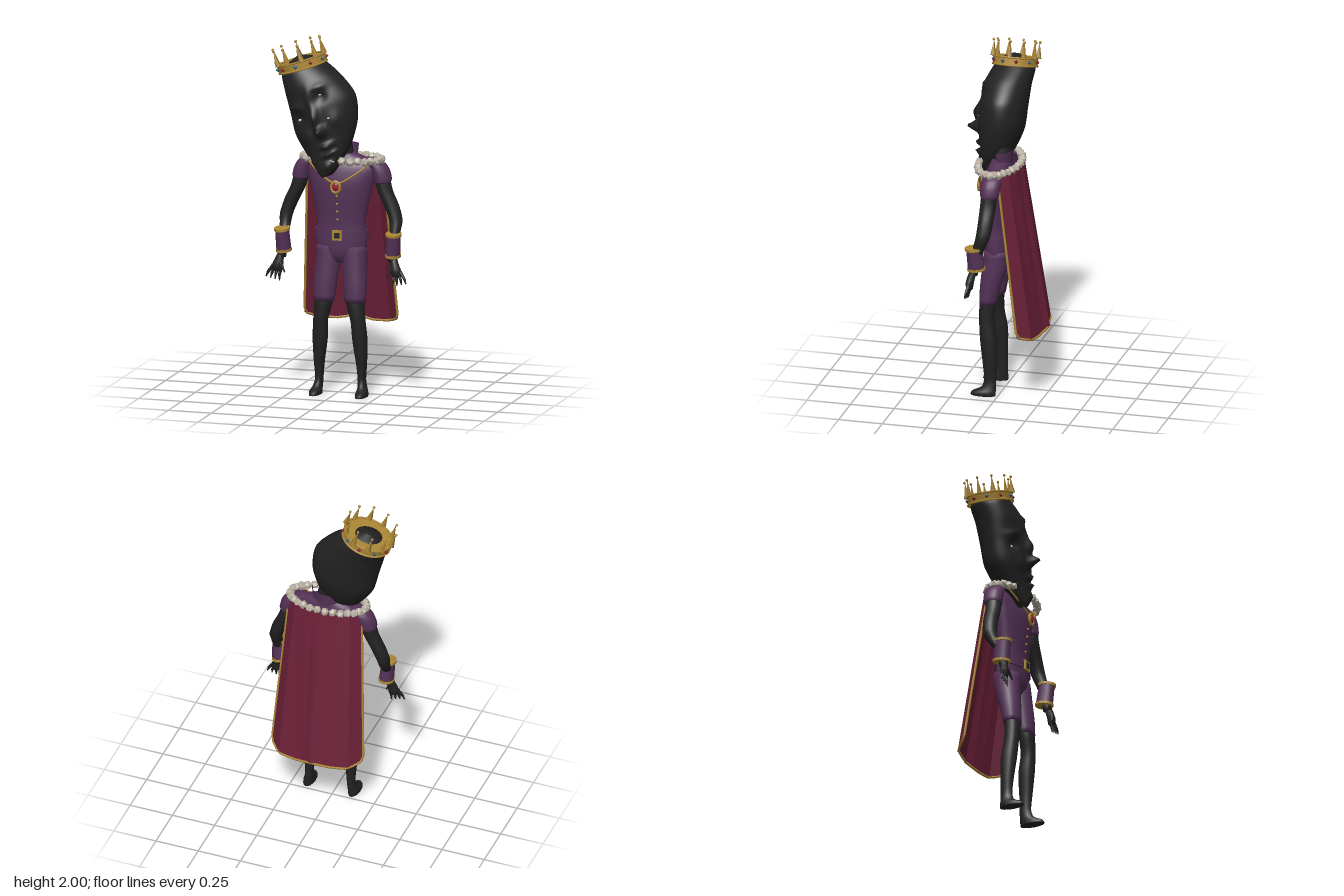
import * as THREE from 'three';

const mat = (name, color, extra = {}) => Object.assign(new THREE.MeshStandardMaterial({ color, ...extra }), { name });
const V = (x, y, z) => new THREE.Vector3(x, y, z);

// Closed smooth loft through level rings [x, y, z, rx, rz], listed from bottom to top
function loft(rings, sides = 14, steps = 3, warp = null) {
  const mid = new THREE.CatmullRomCurve3(rings.map(r => V(r[0], r[1], r[2])), false, 'catmullrom', 0.4);
  const rad = new THREE.CatmullRomCurve3(rings.map(r => V(r[3], r[4], 0)), false, 'catmullrom', 0.4);
  const rows = (rings.length - 1) * steps, pos = [], idx = [];
  for (let j = 0; j <= rows; j++) {
    const c = mid.getPoint(j / rows), r = rad.getPoint(j / rows);
    for (let i = 0; i < sides; i++) {
      const a = (i / sides) * Math.PI * 2;
      const p = V(c.x + r.x * Math.cos(a), c.y, c.z + r.y * Math.sin(a));
      if (warp) warp(p, Math.sin(a), c);
      pos.push(p.x, p.y, p.z);
      if (j === rows) continue;
      const n = (i + 1) % sides, A = j * sides + i, B = j * sides + n;
      idx.push(A, A + sides, B, B, A + sides, B + sides);
    }
  }
  // end caps
  const first = rings[0], last = rings[rings.length - 1], k = pos.length / 3, top = rows * sides;
  pos.push(first[0], first[1], first[2], last[0], last[1], last[2]);
  for (let i = 0; i < sides; i++) {
    const n = (i + 1) % sides;
    idx.push(k, i, n, k + 1, top + n, top + i);
  }
  const g = new THREE.BufferGeometry();
  g.setAttribute('position', new THREE.Float32BufferAttribute(pos, 3));
  g.setIndex(idx);
  g.computeVertexNormals();
  return g;
}

export function createModel() {
  const skin = mat('black skin', 0x222222);
  const purple = mat('purple cloth', 0x543257, { side: THREE.DoubleSide });
  const crimson = mat('crimson cape', 0x6c2038, { side: THREE.DoubleSide, flatShading: true });
  const gold = mat('gold', 0xad8836, { side: THREE.DoubleSide });
  const fur = mat('pale fur', 0xb8b0a2, { flatShading: true });
  const red = mat('red gem', 0x8c1c2c, { flatShading: true });
  const blue = mat('blue gem', 0x2f5f92, { flatShading: true });
  const white = mat('eye white', 0xe4e2da);

  const model = new THREE.Group();
  const add = (parent, name, geo, material, x = 0, y = 0, z = 0) => {
    const m = new THREE.Mesh(geo, material);
    m.name = name;
    m.position.set(x, y, z);
    parent.add(m);
    return m;
  };
  const group = (parent, name, x, y, z) => {
    const g = new THREE.Group();
    g.name = name;
    g.position.set(x, y, z);
    parent.add(g);
    return g;
  };
  const tube = (pts, r, straight) => {
    const c = straight ? new THREE.CurvePath() : new THREE.CatmullRomCurve3(pts);
    if (straight) for (let i = 1; i < pts.length; i++) c.add(new THREE.LineCurve3(pts[i - 1], pts[i]));
    return new THREE.TubeGeometry(c, pts.length * 5, r, 6);
  };
  // tapered rod between two points
  const rod = (parent, name, a, b, r0, r1, material) => {
    const m = add(parent, name, new THREE.CylinderGeometry(r1, r0, a.distanceTo(b), 6), material);
    m.position.copy(a).lerp(b, 0.5);
    m.quaternion.setFromUnitVectors(V(0, 1, 0), b.clone().sub(a).normalize());
  };

  // ---- body, centred on its own axis
  const body = group(model, 'body', 0.027, 0, 0);
  add(body, 'torso', loft([
    [0, 0.745, 0.025, 0.05, 0.045], [0, 0.80, 0.022, 0.135, 0.075], [0, 0.90, 0.025, 0.145, 0.075],
    [0, 0.98, 0.027, 0.14, 0.072], [0, 1.10, 0.028, 0.162, 0.08], [0, 1.20, 0.025, 0.185, 0.085],
    [0, 1.28, 0.02, 0.2, 0.075], [0, 1.325, 0.015, 0.16, 0.06], [0, 1.36, 0.01, 0.075, 0.05]], 24), purple);
  add(body, 'neck', loft([[0, 1.30, 0.01, 0.07, 0.055], [0, 1.38, 0.01, 0.06, 0.05], [-0.02, 1.5, 0.02, 0.06, 0.05]]), skin);
  add(body, 'standingCollar', new THREE.CylinderGeometry(0.095, 0.085, 0.09, 16, 1, true, Math.PI / 2, Math.PI),
    purple, 0, 1.365, 0.02).scale.z = 0.75;
  add(body, 'belt', new THREE.CylinderGeometry(0.153, 0.153, 0.05, 28), purple, 0, 0.905, 0.025).scale.z = 0.56;
  add(body, 'buckle', new THREE.BoxGeometry(0.056, 0.056, 0.014), gold, 0, 0.907, 0.111);
  add(body, 'buckleCentre', new THREE.BoxGeometry(0.03, 0.03, 0.006), skin, 0, 0.907, 0.119);
  for (let i = 0; i < 4; i++)
    add(body, 'button', new THREE.SphereGeometry(0.007, 8, 6), gold, 0, 1.13 - i * 0.045, 0.12 - i * 0.005);

  // necklace
  add(body, 'chain', tube([V(-0.17, 1.31, 0.085), V(-0.1, 1.255, 0.115), V(0, 1.205, 0.135),
    V(0.1, 1.255, 0.115), V(0.17, 1.31, 0.085)], 0.006), gold);
  const pendant = group(body, 'pendant', 0, 1.185, 0.14);
  add(pendant, 'pendantRim', new THREE.TorusGeometry(0.025, 0.008, 6, 16), gold).scale.y = 1.2;
  add(pendant, 'pendantGem', new THREE.SphereGeometry(0.022, 8, 6), red).scale.set(1, 1.2, 0.5);

  for (const s of [-1, 1]) {
    const side = s > 0 ? 'left' : 'right';
    const f = s > 0 ? 0.08 : 0.11; // wrist depth
    add(body, side + 'Leg', loft([
      [s * 0.133, 0, 0.085, 0.032, 0.072], [s * 0.133, 0.02, 0.08, 0.032, 0.068], [s * 0.128, 0.045, 0.055, 0.026, 0.042],
      [s * 0.123, 0.09, 0.046, 0.022, 0.034], [s * 0.122, 0.18, 0.05, 0.03, 0.038], [s * 0.115, 0.31, 0.057, 0.042, 0.047],
      [s * 0.108, 0.42, 0.07, 0.042, 0.042], [s * 0.092, 0.52, 0.07, 0.052, 0.044], [s * 0.09, 0.6, 0.06, 0.05, 0.044]]), skin);
    add(body, side + 'ShortsLeg', loft([
      [s * 0.09, 0.53, 0.066, 0.061, 0.049], [s * 0.086, 0.62, 0.055, 0.066, 0.058],
      [s * 0.077, 0.74, 0.033, 0.07, 0.07], [s * 0.072, 0.84, 0.022, 0.07, 0.072]], 16), purple);
    add(body, side + 'Sleeve', loft([
      [s * 0.235, 1.205, 0.02, 0.046, 0.05], [s * 0.235, 1.225, 0.018, 0.05, 0.054],
      [s * 0.222, 1.27, 0.016, 0.052, 0.056], [s * 0.195, 1.31, 0.015, 0.05, 0.052], [s * 0.15, 1.335, 0.015, 0.03, 0.035]]), purple);
    add(body, side + 'Arm', loft([
      [s * 0.315, 0.77, f + 0.01, 0.022, 0.024], [s * 0.316, 0.86, f, 0.026, 0.03], [s * 0.318, 0.94, 0.055, 0.03, 0.035],
      [s * 0.316, 1.0, 0.035, 0.037, 0.04], [s * 0.288, 1.08, 0.027, 0.042, 0.042], [s * 0.25, 1.16, 0.024, 0.043, 0.044],
      [s * 0.23, 1.24, 0.02, 0.045, 0.045]]), skin);
    // wrist cuff
    const cuff = group(body, side + 'Cuff', s * 0.314, 0.867, f);
    cuff.rotation.set(0.1, 0, -s * 0.06);
    cuff.scale.z = 1.2;
    add(cuff, 'cuffBand', new THREE.CylinderGeometry(0.038, 0.041, 0.12, 12), purple);
    for (const e of [-1, 1])
      add(cuff, 'cuffRim', new THREE.CylinderGeometry(0.044, 0.044, 0.014, 14), gold, 0, e * 0.06, 0);
    // hand
    const z = f + 0.025;
    add(body, side + 'Palm', loft([[s * 0.34, 0.695, z, 0.027, 0.018], [s * 0.336, 0.73, z, 0.032, 0.022],
      [s * 0.325, 0.775, z - 0.01, 0.022, 0.022], [s * 0.316, 0.81, f, 0.02, 0.022]], 10), skin);
    for (let i = 0; i < 4; i++) {
      const a = V(s * (0.318 + i * 0.015), 0.705 + i * 0.006, z), k = V(s * (0.324 + i * 0.022), 0.672 + i * 0.004, z + 0.008);
      rod(body, side + 'Finger', a, k, 0.01, 0.008, skin);
      rod(body, side + 'FingerTip', k, V(s * (0.322 + i * 0.026), 0.64 + i * 0.006, z + 0.012), 0.008, 0.003, skin);
    }
    rod(body, side + 'Thumb', V(s * 0.318, 0.745, z + 0.01), V(s * 0.288, 0.69, z + 0.025), 0.011, 0.004, skin);
  }

  // ---- cape: half profile mirrored, [spread, top z, hem y, hem z]
  const half = [[1, -0.02, 0.405, -0.145], [0.76, -0.07, 0.375, -0.212], [0.4, -0.095, 0.37, -0.228],
    [0.2, -0.1, 0.378, -0.24], [0, -0.112, 0.395, -0.262]];
  const profile = [...half.map(p => [-p[0], ...p.slice(1)]), ...half.slice(0, -1).reverse()];
  const topPts = profile.map(p => V(0.03 + p[0] * 0.215, 1.325, p[1]));
  const hemPts = profile.map(p => V(0.028 + p[0] * 0.27, p[2], p[3]));
  const capePos = [], capeIdx = [];
  profile.forEach((p, i) => {
    capePos.push(...topPts[i].toArray(), ...hemPts[i].toArray());
    if (i) capeIdx.push(2 * i - 2, 2 * i, 2 * i - 1, 2 * i, 2 * i + 1, 2 * i - 1);
  });
  const capeGeo = new THREE.BufferGeometry();
  capeGeo.setAttribute('position', new THREE.Float32BufferAttribute(capePos, 3));
  capeGeo.setIndex(capeIdx);
  capeGeo.computeVertexNormals();
  const cape = group(model, 'cape', 0, 0, 0);
  add(cape, 'capeCloth', capeGeo, crimson);
  add(cape, 'capeTrim', tube([topPts[0], ...hemPts, topPts[8]], 0.007, true), gold);

  // fur collar, open under the chin
  const collar = group(model, 'furCollar', 0.03, 1.33, 0.022);
  for (let i = 0; i < 30; i++) {
    const a = Math.PI / 2 + 0.14 + (i / 29) * (Math.PI * 2 - 0.28);
    const tuft = add(collar, 'furTuft', new THREE.IcosahedronGeometry(0.026, 0), fur,
      Math.cos(a) * 0.222, (i % 2) * 0.004 - 0.002, Math.sin(a) * 0.112);
    tuft.rotation.set(i * 1.3, i * 0.7, i * 2.1);
    tuft.scale.y = 0.9;
  }

  // ---- head, tilted towards its right shoulder
  const head = group(model, 'head', -0.03, 1.24, 0);
  head.rotation.z = 0.31;
  // face relief: [x, y, width, height, depth]
  const relief = [[0.058, 0.25, 0.022, 0.026, 0.068], [0.05, 0.33, 0.018, 0.06, 0.045], [0.045, 0.46, 0.025, 0.05, 0.014],
    [-0.045, 0.345, 0.034, 0.03, -0.022], [0.105, 0.435, 0.036, 0.032, -0.024], [-0.05, 0.41, 0.04, 0.018, 0.014],
    [0.11, 0.495, 0.045, 0.018, 0.014], [0.062, 0.165, 0.035, 0.013, 0.026], [0.06, 0.118, 0.032, 0.013, 0.024],
    [0.061, 0.142, 0.04, 0.007, -0.014], [0.045, 0.055, 0.035, 0.025, 0.016], [-0.03, 0.24, 0.03, 0.04, 0.012],
    [0.15, 0.29, 0.035, 0.045, 0.012]];
  const headGeo = loft([
    [0, 0, 0.11, 0.03, 0.035], [0.013, 0.03, 0.1, 0.058, 0.055], [0.04, 0.13, 0.06, 0.125, 0.095],
    [0.057, 0.26, 0.035, 0.18, 0.125], [0.071, 0.39, 0.028, 0.188, 0.132], [0.047, 0.51, 0.02, 0.16, 0.13],
    [0.014, 0.6, 0, 0.124, 0.117], [0.01, 0.64, 0, 0.09, 0.085], [0.01, 0.672, 0, 0.02, 0.02]], 72, 9, (p, front, c) => {
    p.x -= 0.12 * (p.z - c.z);
    if (front <= 0) return;
    const w = Math.min(1, front * 2);
    for (const [x, y, dx, dy, d] of relief)
      p.z += w * d * Math.exp(-(((p.x - x) / dx) ** 2) - ((p.y - y) / dy) ** 2);
  });
  add(head, 'face', headGeo, skin);
  // small details sit on the nearest point of the face
  const faceZ = (x, y) => {
    const p = headGeo.attributes.position;
    let best = 1, z = 0;
    for (let i = 0; i < p.count; i++) {
      const d = Math.hypot(p.getX(i) - x, p.getY(i) - y);
      if (p.getZ(i) > 0.03 && d < best) { best = d; z = p.getZ(i); }
    }
    return z;
  };
  for (const [name, x, y, r] of [['rightEye', -0.054, 0.338, 0.01], ['leftEye', 0.102, 0.45, 0.012], ['cheekGlint', 0.121, 0.313, 0.008]])
    add(head, name, new THREE.SphereGeometry(r, 10, 8), white, x, y, faceZ(x, y)).scale.set(1, 0.65, 0.5);

  // ---- crown
  const crown = group(head, 'crown', 0.012, 0.605, 0);
  crown.scale.z = 0.89;
  add(crown, 'crownBand', new THREE.CylinderGeometry(0.14, 0.137, 0.05, 30, 1, true), gold, 0, 0.025, 0);
  for (const y of [0.003, 0.047])
    add(crown, 'crownRim', new THREE.TorusGeometry(0.139, 0.006, 6, 30), gold, 0, y, 0).rotation.x = Math.PI / 2;
  add(crown, 'crownPlate', new THREE.RingGeometry(0.065, 0.138, 30), gold, 0, 0.043, 0).rotation.x = -Math.PI / 2;
  for (let i = 0; i < 10; i++) {
    const a = (i / 10) * Math.PI * 2, b = a + Math.PI / 10;
    const spike = group(crown, 'spike', Math.cos(a) * 0.14, 0.045, Math.sin(a) * 0.14);
    spike.rotation.y = -a;
    add(spike, 'spikeCone', new THREE.ConeGeometry(0.018, 0.09, 4), gold, 0, 0.045, 0);
    add(spike, 'spikeBall', new THREE.SphereGeometry(0.008, 8, 6), gold, 0.003, 0.09, 0);
    add(crown, 'crownGem', new THREE.OctahedronGeometry(0.013), i % 2 ? red : blue,
      Math.cos(b) * 0.141, 0.025, Math.sin(b) * 0.141);
  }
  return model;
}
